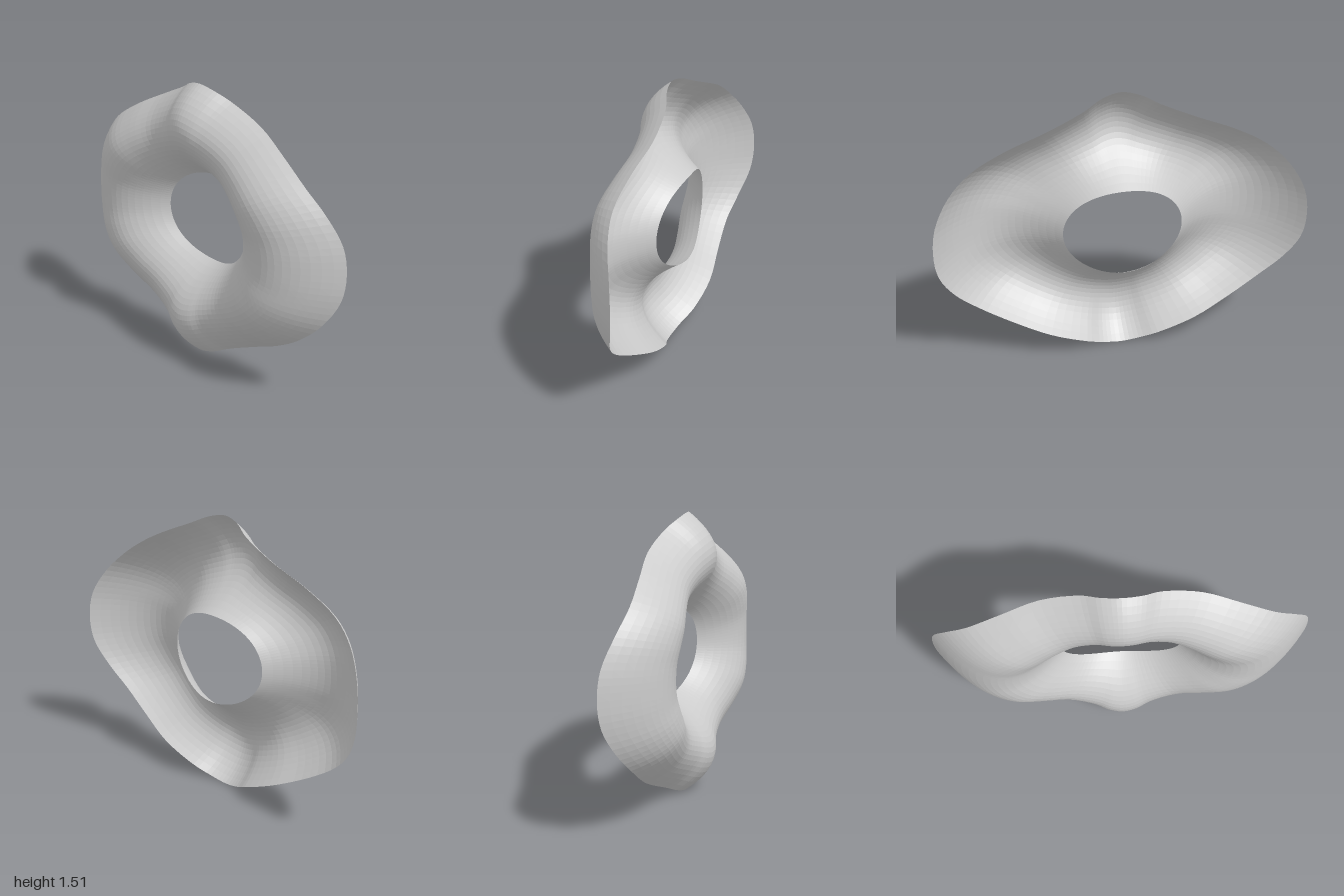
import * as THREE from 'three';

const CENTRE_Y = 0.755;

// one quarter of the wavy outer rim: x, height from the centre, z
const QUARTER = [
  [1, 0, -0.13], [0.98, 0.145, -0.118], [0.9, 0.287, -0.077], [0.78, 0.4, -0.05],
  [0.6, 0.51, -0.065], [0.4, 0.605, -0.093], [0.2, 0.69, -0.072], [0.1, 0.735, -0.035],
  [0, 0.755, -0.02],
];

// mirror the quarter into a closed rim
function outerRim() {
  const half = [...QUARTER, ...QUARTER.slice(0, -1).reverse().map(([x, y, z]) => [-x, y, z])];
  const lower = half.slice(1, -1).reverse().map(([x, y, z]) => [x, -y, z]);
  const points = [...half, ...lower].map((p) => new THREE.Vector3(...p));
  return new THREE.CatmullRomCurve3(points, true, 'centripetal');
}

// oval hole edge, in the same direction from the centre as an outer point
function innerPoint(angle) {
  const c = Math.cos(angle), s = Math.sin(angle);
  const r = 1 / Math.hypot(c / 0.32, s / 0.243);
  return new THREE.Vector3(c * r, s * r, -0.095 + 0.025 * Math.cos(2 * angle));
}

export function createModel() {
  const group = new THREE.Group();
  const rim = outerRim();
  const geometry = new THREE.PlaneGeometry(1, 1, 128, 18);
  const pos = geometry.attributes.position;
  const uv = geometry.attributes.uv;

  // sheet arching forward between the hole edge and the outer rim
  for (let i = 0; i < pos.count; i++) {
    const outer = rim.getPoint(uv.getX(i) % 1);
    const angle = Math.atan2(outer.y, outer.x);
    const t = 1 - uv.getY(i);
    const p = innerPoint(angle).lerp(outer, t);
    const bulge = 0.194 + 0.012 * Math.cos(4 * angle) + 0.01 * Math.cos(2 * angle);
    pos.setXYZ(i, p.x, p.y + CENTRE_Y, p.z + 4 * t * (1 - t) * bulge);
  }
  geometry.computeVertexNormals();

  const sheet = new THREE.Mesh(geometry, new THREE.MeshStandardMaterial({
    color: 0xcccccc, flatShading: true, side: THREE.DoubleSide,
  }));
  sheet.name = 'wavyRingSheet';
  group.add(sheet);
  return group;
}
